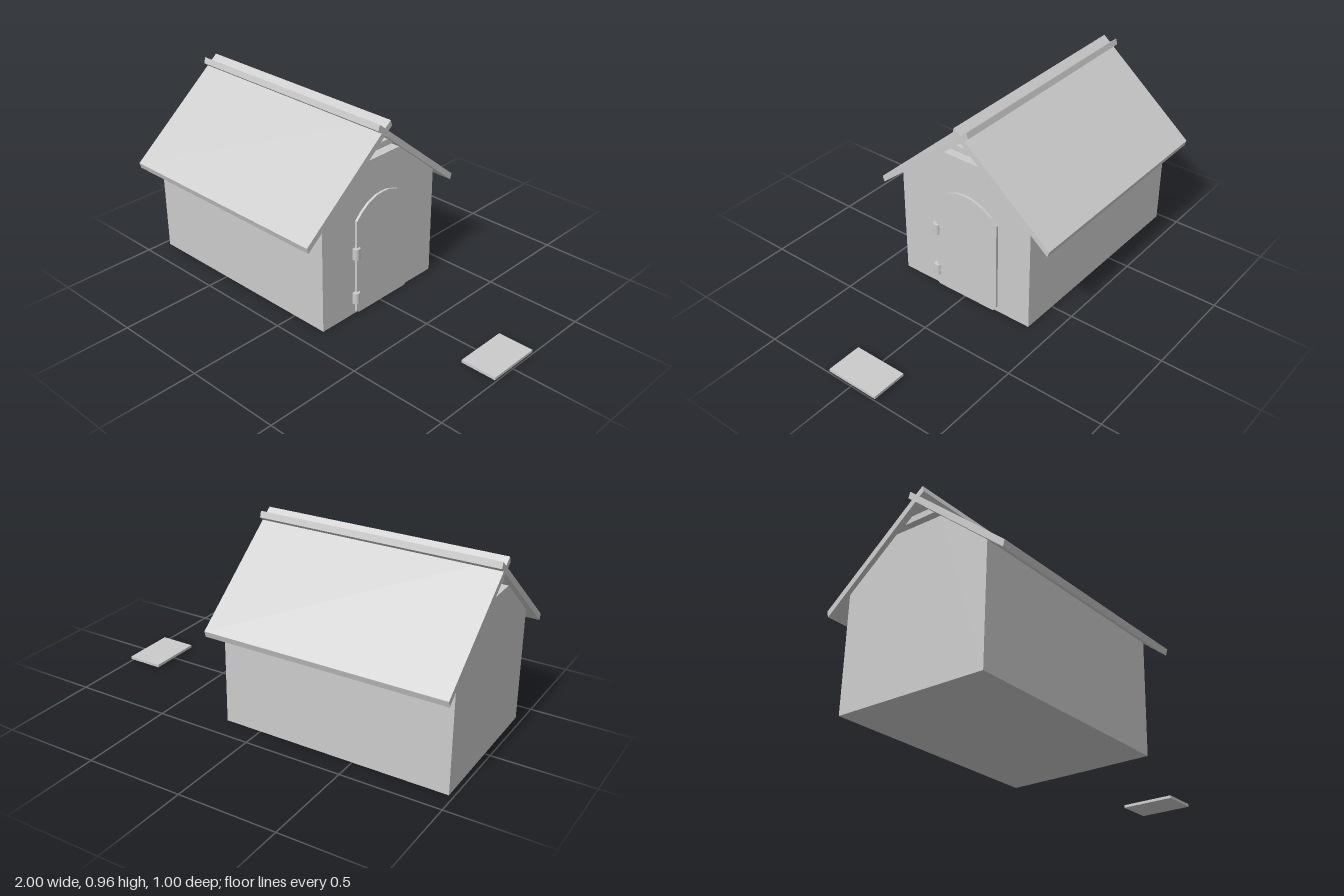
import * as THREE from 'three';

const grey = new THREE.MeshStandardMaterial({ color: 0xcccccc, flatShading: true });
const smooth = new THREE.MeshStandardMaterial({ color: 0xcccccc });

// Extrude a [z, y] outline along x from x0 to x1
function prism(name, outline, x0, x1) {
  const shape = new THREE.Shape(outline.map(([z, y]) => new THREE.Vector2(-z, y)));
  const geo = new THREE.ExtrudeGeometry(shape, { depth: x1 - x0, bevelEnabled: false });
  geo.rotateY(Math.PI / 2).translate(x0, 0, 0);
  const mesh = new THREE.Mesh(geo, grey);
  mesh.name = name;
  return mesh;
}

export function createModel() {
  const model = new THREE.Group();
  model.name = 'kennel';

  // House body with a cut-off gable; the far end is slightly out of square
  const body = prism('body', [
    [0.385, 0], [-0.382, 0], [-0.382, 0.575], [-0.13, 0.785], [0.13, 0.785], [0.385, 0.575],
  ], -0.968, 0.192);
  const pos = body.geometry.attributes.position;
  for (let i = 0; i < pos.count; i++) {
    const z = pos.getZ(i);
    if (pos.getX(i) < 0) {
      pos.setX(i, -0.968 - 0.01 * (0.385 - z) / 0.77);
      if (z < -0.3) pos.setZ(i, z - 0.006);
    }
  }
  body.geometry.computeVertexNormals();
  model.add(body);

  // Beam under the ridge
  model.add(prism('ridgeBeam', [
    [0.087, 0.82], [-0.087, 0.82], [-0.05, 0.85], [0.05, 0.85],
  ], -0.968, 0.192));

  // Two roof slabs crossing at the ridge
  for (const side of [1, -1]) {
    model.add(prism(side > 0 ? 'leftRoofSlab' : 'rightRoofSlab', [
      [0.502, 0.515], [0.493, 0.485], [-0.045, 0.926], [-0.036, 0.956],
    ].map(([z, y]) => [z * side, y]), -1, 0.216));
  }

  // Arched door standing just proud of the end wall
  model.add(prism('door', [
    [0.17, 0.014], [0.155, 0.005], [-0.178, 0.005], [-0.196, 0.03], [-0.197, 0.51],
    [-0.16, 0.545], [-0.11, 0.577], [-0.045, 0.598], [0.0, 0.6], [0.04, 0.596],
    [0.09, 0.577], [0.135, 0.545], [0.17, 0.51],
  ], 0.18, 0.205));

  // Hinge barrels
  for (const y of [0.095, 0.339]) {
    const hinge = new THREE.Mesh(new THREE.CylinderGeometry(0.019, 0.019, 0.058, 24), smooth);
    hinge.name = 'hinge';
    hinge.position.set(0.201, y, 0.171);
    model.add(hinge);
  }

  // Loose slab lying in front of the door
  const slab = new THREE.Mesh(new THREE.BoxGeometry(0.186, 0.014, 0.281), grey);
  slab.name = 'doorSlab';
  slab.position.set(0.907, 0.018, -0.007);
  model.add(slab);

  return model;
}
